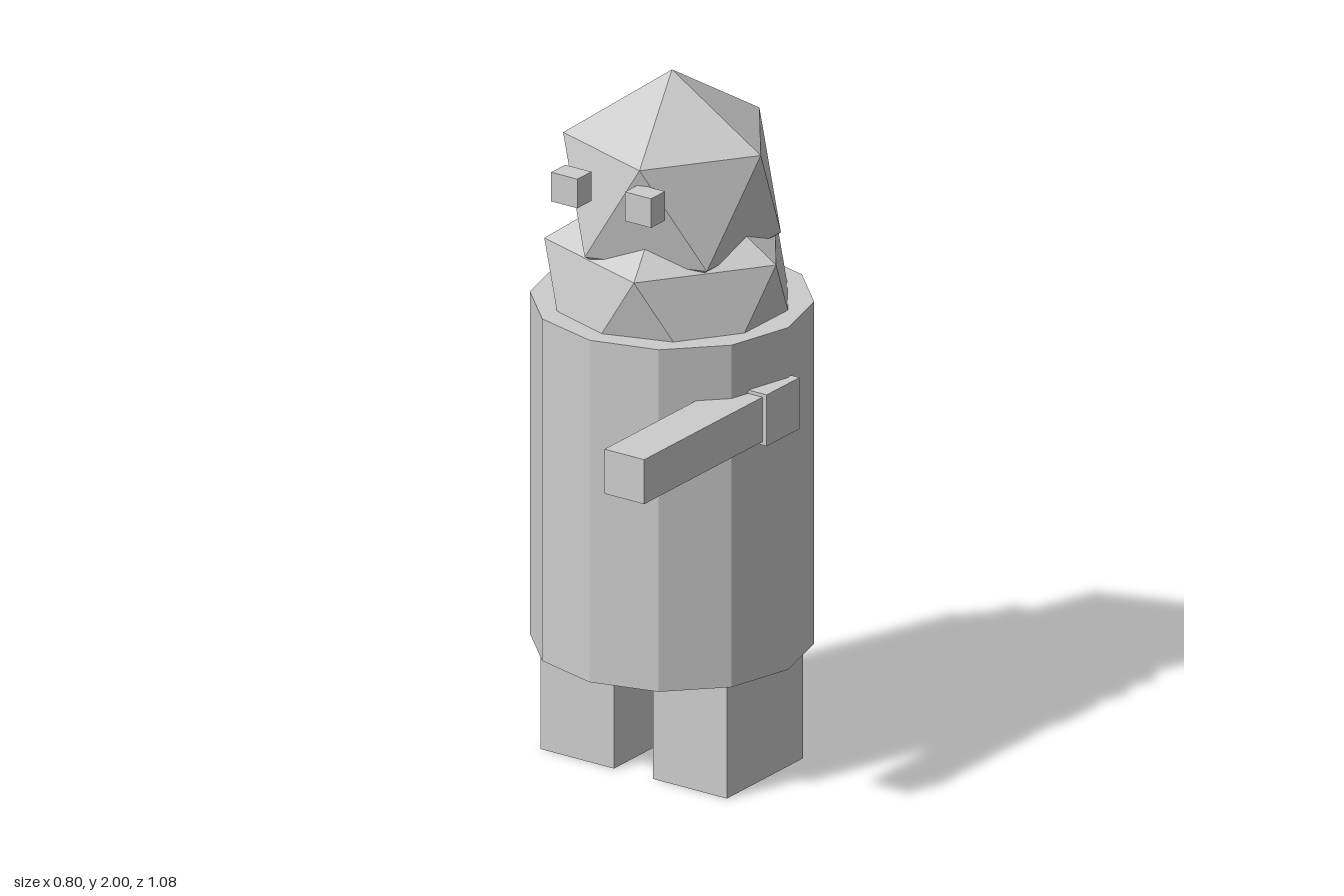
import * as THREE from 'three';
import { ConvexGeometry } from 'three/addons/geometries/ConvexGeometry.js';

// Axis shared by the torso, shoulders and head
const CX = -0.012, CZ = -0.155;

// Icosahedron standing on a corner: two poles and two staggered five-point rings
function uprightIcosahedron(radius) {
  const points = [new THREE.Vector3(0, radius, 0), new THREE.Vector3(0, -radius, 0)];
  const ring = radius * 2 / Math.sqrt(5), h = radius / Math.sqrt(5);
  for (let i = 0; i < 5; i++) {
    const a = i * Math.PI * 2 / 5;
    points.push(new THREE.Vector3(ring * Math.cos(a), h, ring * Math.sin(a)));
    points.push(new THREE.Vector3(-ring * Math.cos(a), -h, -ring * Math.sin(a)));
  }
  return new ConvexGeometry(points);
}

export function createModel() {
  const model = new THREE.Group();
  model.name = 'figure';
  const grey = new THREE.MeshStandardMaterial({ color: 0xcccccc, flatShading: true });
  grey.name = 'light grey';

  function add(name, geometry, x, y, z) {
    const mesh = new THREE.Mesh(geometry, grey);
    mesh.name = name;
    mesh.position.set(x, y, z);
    model.add(mesh);
  }
  // Box given by its extents on each axis
  function addBox(name, [x0, x1], [y0, y1], [z0, z1]) {
    add(name, new THREE.BoxGeometry(x1 - x0, y1 - y0, z1 - z0),
      (x0 + x1) / 2, (y0 + y1) / 2, (z0 + z1) / 2);
  }

  // Torso, shoulders and head
  add('torso', new THREE.CylinderGeometry(0.387, 0.387, 1, 12), CX, 0.836, CZ);
  add('shoulders', uprightIcosahedron(0.387), CX, 1.336, CZ);
  add('head', uprightIcosahedron(0.33), CX, 1.67, CZ);

  // Legs and eyes, mirrored about the body axis
  for (const [side, s] of [['left', 1], ['right', -1]]) {
    const span = (a, b) => [CX + s * a, CX + s * b].sort((p, q) => p - q);
    addBox(side + 'Leg', span(0.065, 0.31), [0, 0.36], [-0.332, 0.025]);
    addBox(side + 'Eye', span(0.079, 0.166), [1.685, 1.77], [0.111, 0.177]);
  }

  // Single forward-reaching arm with its shoulder joint
  addBox('leftArm', [0.254, 0.386], [1.05, 1.18], [-0.03, 0.536]);
  addBox('leftArmJoint', [0.335, 0.4], [1.04, 1.19], [-0.172, -0.018]);

  return model;
}
